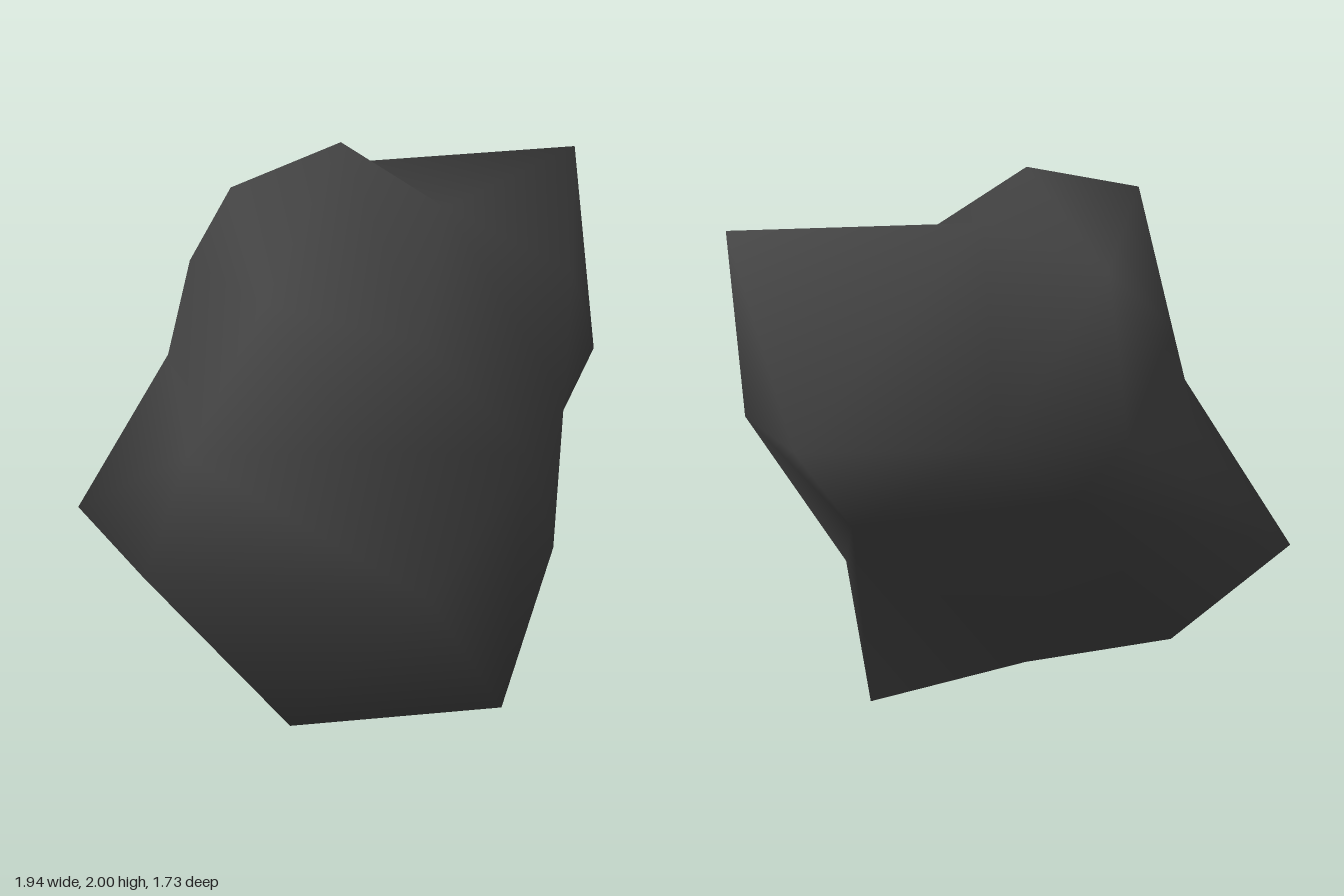
import * as THREE from 'three';
import { mergeVertices } from 'three/addons/utils/BufferGeometryUtils.js';

// Corner points shared by neighbouring sections
const peak = [0, 2, 0.03], ridge = [0.37, 1.76, 0.02], backNotch = [0.1, 1.84, -0.37], dent = [-0.32, 1.66, -0.21];
const horn = [0.92, 1.83, -0.64], sideShoulder = [-0.55, 1.48, -0.32], brow = [-0.38, 1.91, 0.31];
const frontTip = [-0.27, 1.67, 0.87], cheek = [0.59, 1.13, 0.83], flank = [-0.53, 1.12, 0.77];
const backCorner = [-0.42, 1.13, -0.55], sideTip = [-0.97, 0.64, 0.03], lowFlank = [-0.7, 0.58, 0.54];
const waist = [0.72, 0.68, 0.55], ledge = [0.66, 0.55, -0.08], backHollow = [-0.2, 0.85, -0.25];
const foot = [0.57, 0, 0.44], heel = [0.52, 0.1, -0.34], sole = [0, 0.16, 0];
const keel = [-0.54, 0.26, 0.04], toe = [-0.2, 0.06, 0.66];

// Cross-sections from bottom to top, each running front, right, back, left.
// A repeated corner narrows the section there.
const sections = [
  [foot, heel, heel, heel, sole, keel, keel, keel, toe, toe, toe],
  [cheek, waist, ledge, [0.56, 0.77, -0.42], backHollow, backHollow, sideTip, sideTip,
    lowFlank, lowFlank, [0.27, 0.61, 0.815]],
  [cheek, [0.78, 1.13, 0.27], [0.97, 1.13, -0.29], [0.65, 1.13, -0.86], [0, 1.13, -0.72],
    backCorner, backCorner, [-0.64, 1.12, -0.3], flank, flank, [0.08, 1.13, 0.77]],
  [[0.24, 1.5, 0.76], ridge, [0.84, 1.5, -0.05], horn, backNotch,
    dent, dent, sideShoulder, sideShoulder, frontTip, frontTip],
  [ridge, ridge, ridge, ridge, backNotch, dent, dent, dent, dent, brow, peak],
];

function distance(a, b) {
  return Math.hypot(a[0] - b[0], a[1] - b[1], a[2] - b[2]);
}

function buildBoulder() {
  const positions = [];
  // Adds one triangle, skipping those that collapse to a line
  const triangle = (a, b, c) => {
    if (a !== b && b !== c && c !== a) positions.push(...a, ...b, ...c);
  };
  const count = sections[0].length;

  // Skin between neighbouring sections, split along the shorter diagonal
  for (let s = 0; s < sections.length - 1; s++) {
    for (let i = 0; i < count; i++) {
      const j = (i + 1) % count;
      const a = sections[s][i], b = sections[s][j];
      const c = sections[s + 1][j], d = sections[s + 1][i];
      if (distance(a, c) < distance(b, d)) {
        triangle(a, b, c);
        triangle(a, c, d);
      } else {
        triangle(a, b, d);
        triangle(b, c, d);
      }
    }
  }

  // Crown and underside, fanned from the peak and the sole
  const top = sections[sections.length - 1], bottom = sections[0];
  for (let i = 0; i < count; i++) {
    const j = (i + 1) % count;
    triangle(peak, top[i], top[j]);
    triangle(sole, bottom[j], bottom[i]);
  }

  const geometry = new THREE.BufferGeometry();
  geometry.setAttribute('position', new THREE.Float32BufferAttribute(positions, 3));
  const smooth = mergeVertices(geometry);
  smooth.computeVertexNormals();
  return smooth;
}

export function createModel() {
  const stone = new THREE.MeshStandardMaterial({ color: 0x444444 });
  stone.name = 'dark stone';
  const boulder = new THREE.Mesh(buildBoulder(), stone);
  boulder.name = 'boulder';
  const group = new THREE.Group();
  group.name = 'rock';
  group.add(boulder);
  return group;
}
